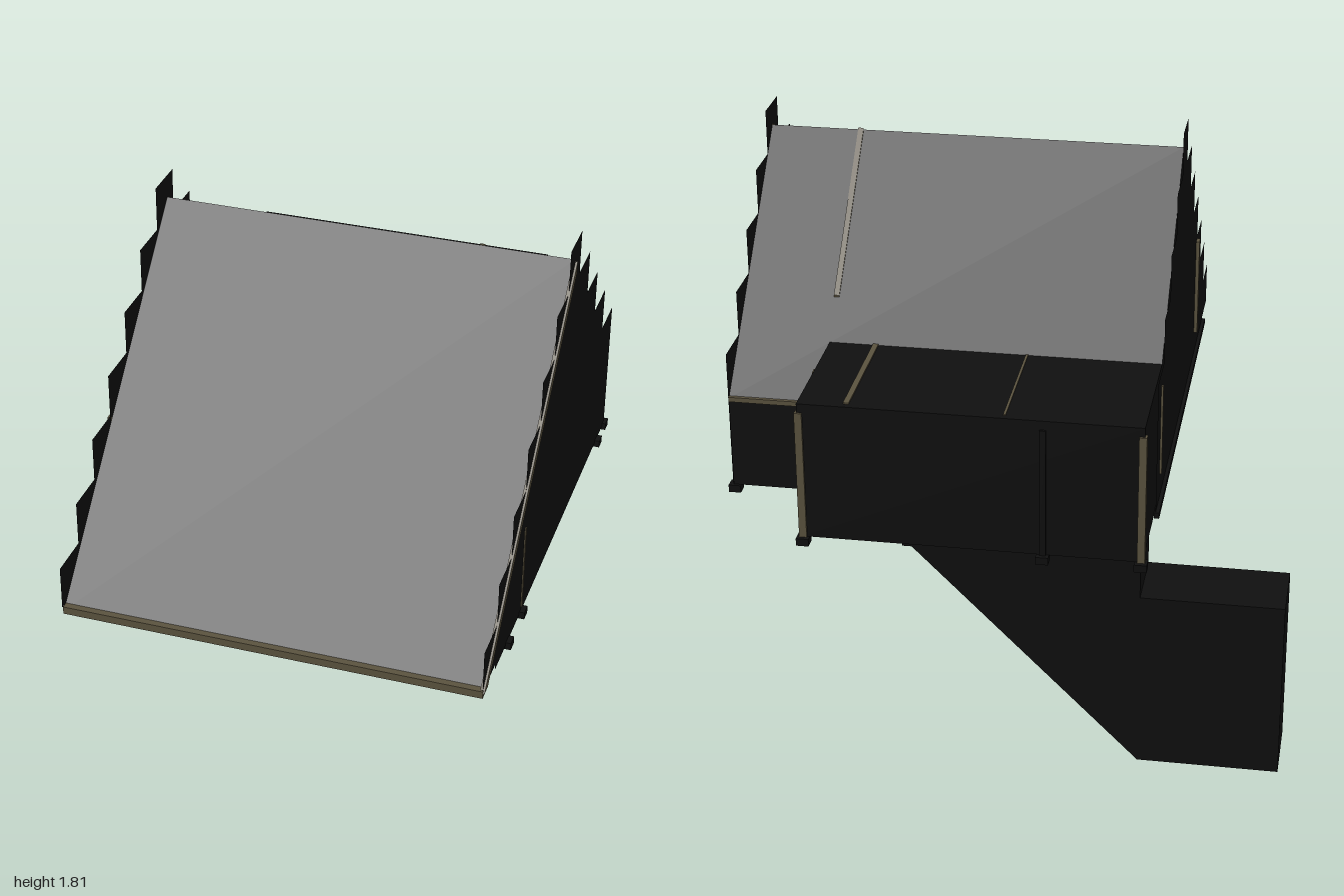
import * as THREE from 'three';

export function createModel() {
  const model = new THREE.Group();
  const black = new THREE.MeshStandardMaterial({ color: 0x0f0f0f });
  black.name = 'black';
  const sheet = new THREE.MeshStandardMaterial({ color: 0x0f0f0f, side: THREE.DoubleSide });
  sheet.name = 'black sheet';
  const brown = new THREE.MeshStandardMaterial({ color: 0x5a523e });
  brown.name = 'dull brown';

  const add = (name, geometry, material) => {
    const mesh = new THREE.Mesh(geometry, material);
    mesh.name = name;
    model.add(mesh);
    return mesh;
  };
  // box from its lower and upper limits
  const box = (name, material, x0, x1, y0, y1, z0, z1) => {
    const mesh = add(name, new THREE.BoxGeometry(x1 - x0, y1 - y0, z1 - z0), material);
    mesh.position.set((x0 + x1) / 2, (y0 + y1) / 2, (z0 + z1) / 2);
    return mesh;
  };
  const shapeOf = (points) => new THREE.Shape(points.map((p) => new THREE.Vector2(...p)));
  // outline given as (z, y), extruded along x
  const alongX = (points, x0, x1) => {
    const g = new THREE.ExtrudeGeometry(shapeOf(points.map(([z, y]) => [-z, y])),
      { depth: x1 - x0, bevelEnabled: false });
    return g.rotateY(Math.PI / 2).translate(x0, 0, 0);
  };

  // pitched hall and flat-topped rear block
  add('hall', alongX([[0.99, 0.75], [0, 1.74], [-0.68, 1.06], [-0.68, 0.75]], -0.48, 0.89), black);
  box('rearBlock', black, -0.48, 0.59, 0.75, 1.21, -0.98, -0.5);

  // thin stepped gable sheets
  const outline = [[0.84, 0.74], [0.84, 0.76], [0.99, 0.76]];
  const front = [0.99, 0.84, 0.69, 0.54, 0.385, 0.235, 0.085];
  front.forEach((z, i) => {
    const y = 0.91 + i * 0.15;
    outline.push([z, y], [i < 6 ? front[i + 1] : -0.065, y]);
  });
  const back = [-0.065, -0.215, -0.365, -0.52, -0.675];
  for (let i = 1; i < back.length; i++) {
    const y = 1.81 - i * 0.15;
    outline.push([back[i - 1], y], [back[i], y]);
  }
  outline.push([-0.675, 0.74]);
  for (const [name, x] of [['leftGable', 0.893], ['rightGable', -0.485]]) {
    const g = new THREE.ShapeGeometry(shapeOf(outline.map(([z, y]) => [-z, y])));
    add(name, g.rotateY(Math.PI / 2).translate(x, 0, 0), sheet);
  }
  box('rightSill', black, -0.497, -0.48, 0.74, 0.76, -0.68, 0.83);

  // angled chute leg under the rear block
  const leg = shapeOf([[-0.92, 0], [-0.47, 0], [0.25, 0.72], [0.28, 0.72], [0.28, 0.75],
    [-0.47, 0.75], [-0.47, 0.6], [-0.92, 0.6]]);
  add('chuteLeg', new THREE.ExtrudeGeometry(leg, { depth: 0.225, bevelEnabled: false })
    .translate(0, 0, -0.94), black);

  // eave and sloping gable trims
  box('frontEave', brown, -0.48, 0.895, 0.742, 0.768, 0.97, 0.995);
  box('rearEave', brown, 0.59, 0.89, 1.05, 1.066, -0.686, -0.672);
  add('gableTrim', alongX([[0.995, 0.76], [0.01, 1.74], [0.01, 1.7], [0.955, 0.76]], 0.885, 0.9), brown);

  // corner posts with small dark feet
  for (const [x, z, top] of [[-0.475, -0.975, 1.18], [0.585, -0.975, 1.18], [0.597, -0.683, 1.18]]) {
    box('cornerPost', brown, x - 0.012, x + 0.012, 0.75, top, z - 0.012, z + 0.012);
  }
  for (const [x, z] of [[-0.475, -0.98], [-0.17, -0.98], [0.585, -0.98], [0.885, -0.67],
    [0.89, -0.55], [0.89, 0.52], [0.89, 0.69]]) {
    box('postFoot', black, x - 0.02, x + 0.02, 0.725, 0.75, z - 0.02, z + 0.02);
  }
  box('rearStrip', black, -0.18, -0.16, 0.75, 1.18, -0.987, -0.97);

  // narrow battens on the side walls
  box('leftBatten', brown, 0.89, 0.897, 0.76, 1.06, 0.513, 0.527);
  box('rightBatten', brown, -0.497, -0.48, 0.85, 1.2, 0.505, 0.535);
  box('rightBatten', brown, -0.492, -0.48, 0.85, 1.16, -0.585, -0.575);

  // battens on the flat roof and the rear slope
  box('flatRoofBatten', brown, 0.43, 0.448, 1.205, 1.215, -0.96, -0.53);
  box('flatRoofBatten', brown, -0.054, -0.046, 1.205, 1.213, -0.96, -0.53);
  add('slopeBatten', alongX([[0, 1.746], [-0.42, 1.326], [-0.42, 1.31], [0, 1.73]], 0.58, 0.598), brown);

  return model;
}
